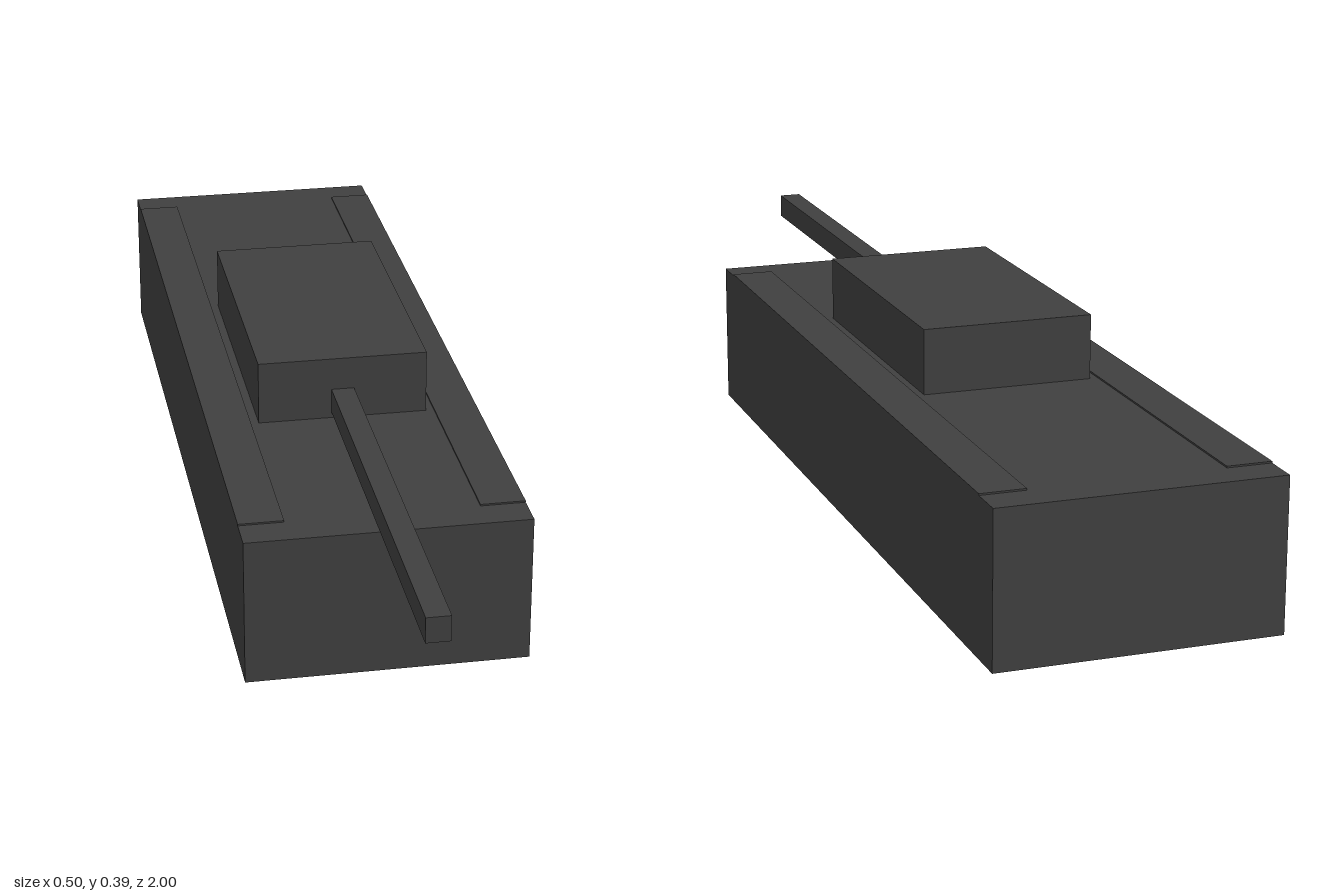
import * as THREE from 'three';

export function createModel() {
  const model = new THREE.Group();
  const material = new THREE.MeshStandardMaterial({ color: 0x404040 });

  // Box given by its lower and upper corners
  function block(name, [x0, y0, z0], [x1, y1, z1]) {
    const mesh = new THREE.Mesh(new THREE.BoxGeometry(x1 - x0, y1 - y0, z1 - z0), material);
    mesh.position.set((x0 + x1) / 2, (y0 + y1) / 2, (z0 + z1) / 2);
    mesh.name = name;
    model.add(mesh);
  }

  // Hull, turret and gun
  block('hull', [-0.251, 0, -1], [0.251, 0.272, 0.608]);
  block('turret', [-0.156, 0.272, -0.39], [0.156, 0.39, 0.157]);
  block('gunBarrel', [-0.021, 0.283, 0.157], [0.021, 0.329, 1]);

  // Thin raised track covers, flush with the hull sides
  block('leftTrackCover', [0.171, 0.272, -0.935], [0.251, 0.275, 0.545]);
  block('rightTrackCover', [-0.251, 0.272, -0.935], [-0.171, 0.275, 0.545]);

  return model;
}
